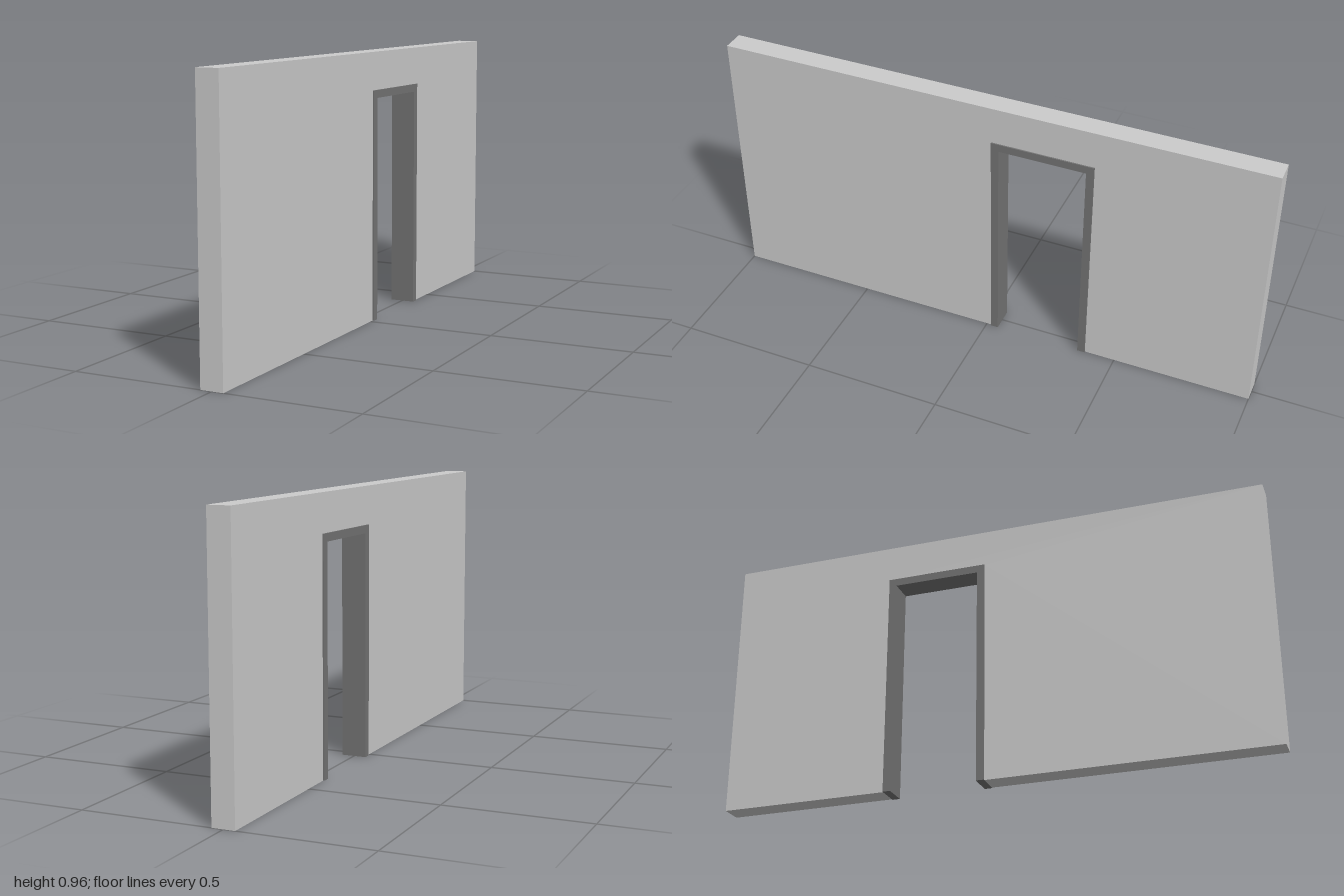
import * as THREE from 'three';

// Extrudes a [z, y] outline evenly about the x = 0 plane
function slab(name, points, thickness, color) {
  const shape = new THREE.Shape(points.map(([z, y]) => new THREE.Vector2(z, y)));
  const geometry = new THREE.ExtrudeGeometry(shape, { depth: thickness, bevelEnabled: false });
  geometry.translate(0, 0, -thickness / 2);
  geometry.rotateY(-Math.PI / 2);
  const mesh = new THREE.Mesh(geometry, new THREE.MeshStandardMaterial({ color }));
  mesh.name = name;
  return mesh;
}

export function createModel() {
  const group = new THREE.Group();
  group.name = 'wallWithDoorway';

  const height = 0.962;
  const back = -0.388, front = -0.017, top = 0.827; // outer edge of the door frame
  const trim = 0.028; // frame width

  // Wall with a doorway cut up from the floor
  group.add(slab('wall', [
    [-1, 0], [back, 0], [back, top], [front, top], [front, 0],
    [1, 0], [1, height], [-1, height],
  ], 0.08, 0xcccccc));

  // Door frame lining the opening, slightly proud of both wall faces
  group.add(slab('doorFrame', [
    [back, 0], [back + trim, 0], [back + trim, top - trim],
    [front - trim, top - trim], [front - trim, 0],
    [front, 0], [front, top], [back, top],
  ], 0.09, 0x747474));

  return group;
}
